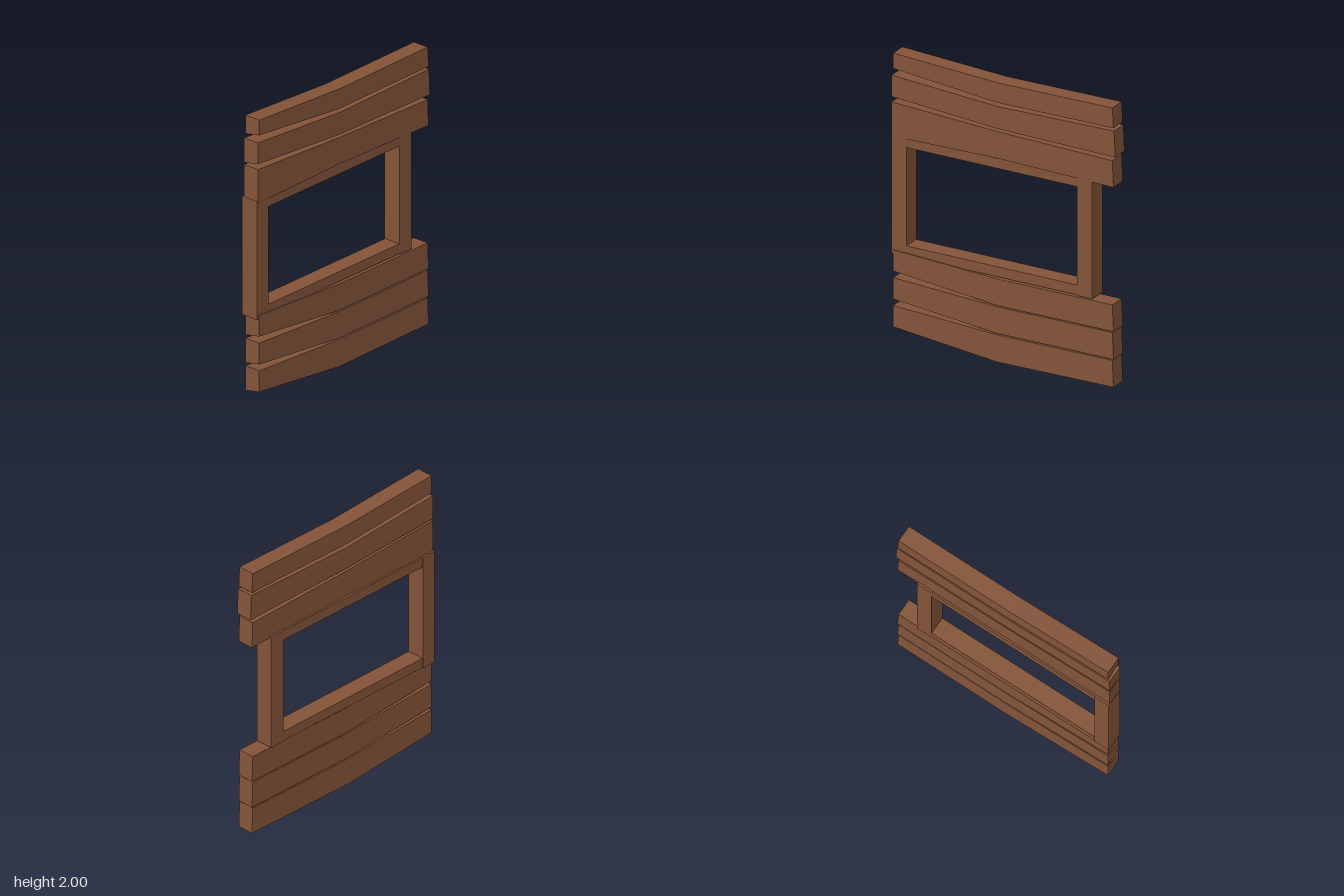
import * as THREE from 'three';

const wood = new THREE.MeshStandardMaterial({ color: 0x835338 });
wood.name = 'brown wood';

const X0 = -0.055, X1 = 0.065;

// Bent plank: three cross-sections (front, middle, back) joined by flat sides.
// front: [z, top, bottom at -x, bottom at +x]; middle: [top, bottom]; back: [z, top, bottom]
function plank(name, front, middle, back) {
  const section = (zTop, zBottom, top, low, high) => [
    [X0, low, zBottom], [X1, high, zBottom], [X1, top, zTop], [X0, top, zTop],
  ];
  const rings = [
    section(front[0], front[0], front[1], front[2], front[3]),
    section(0.04, 0.05, middle[0], middle[1], middle[1]),
    section(back[0], back[0] - 0.008, back[1], back[2], back[2]),
  ];
  const pos = [];
  const quad = (a, b, c, d) => pos.push(...a, ...b, ...c, ...a, ...c, ...d);
  for (let i = 0; i < 2; i++) {
    const f = rings[i], b = rings[i + 1];
    for (let k = 0; k < 4; k++) {
      const n = (k + 1) % 4;
      quad(f[k], b[k], b[n], f[n]);
    }
  }
  quad(...rings[0]);
  quad(...[...rings[2]].reverse());
  const geo = new THREE.BufferGeometry();
  geo.setAttribute('position', new THREE.Float32BufferAttribute(pos, 3));
  geo.computeVertexNormals();
  const mesh = new THREE.Mesh(geo, wood);
  mesh.name = name;
  return mesh;
}

// Straight beam given by its limits
function beam(name, x0, x1, y0, y1, z0, z1) {
  const mesh = new THREE.Mesh(new THREE.BoxGeometry(x1 - x0, y1 - y0, z1 - z0), wood);
  mesh.position.set((x0 + x1) / 2, (y0 + y1) / 2, (z0 + z1) / 2);
  mesh.name = name;
  return mesh;
}

export function createModel() {
  const model = new THREE.Group();
  model.name = 'plankWallWithWindow';

  // Wall planks, top to bottom
  const planks = new THREE.Group();
  planks.name = 'wallPlanks';
  [
    [[0.82, 2.0, 1.87, 1.893], [1.96, 1.82], [-0.81, 1.968, 1.828]],
    [[0.832, 1.843, 1.67, 1.693], [1.793, 1.637], [-0.823, 1.808, 1.625]],
    [[0.832, 1.655, 1.415, 1.415], [1.617, 1.43], [-0.81, 1.598, 1.412]],
    [[0.82, 0.62, 0.45, 0.472], [0.583, 0.396], [-0.81, 0.586, 0.4]],
    [[0.82, 0.425, 0.252, 0.275], [0.387, 0.2], [-0.81, 0.392, 0.205]],
    [[0.82, 0.23, 0.057, 0.08], [0.19, 0], [-0.81, 0.197, 0.01]],
  ].forEach((p, i) => planks.add(plank('plank' + (i + 1), ...p)));
  model.add(planks);

  // Window frame between the planks
  const frame = new THREE.Group();
  frame.name = 'windowFrame';
  frame.add(
    beam('frontPost', -0.07, 0.06, 0.592, 1.428, 0.725, 0.834),
    beam('backPost', -0.07, 0.06, 0.592, 1.428, -0.657, -0.545),
    beam('topRail', -0.067, 0.057, 1.355, 1.425, -0.545, 0.725),
    beam('bottomRail', -0.067, 0.057, 0.595, 0.665, -0.545, 0.725),
  );
  model.add(frame);

  return model;
}
